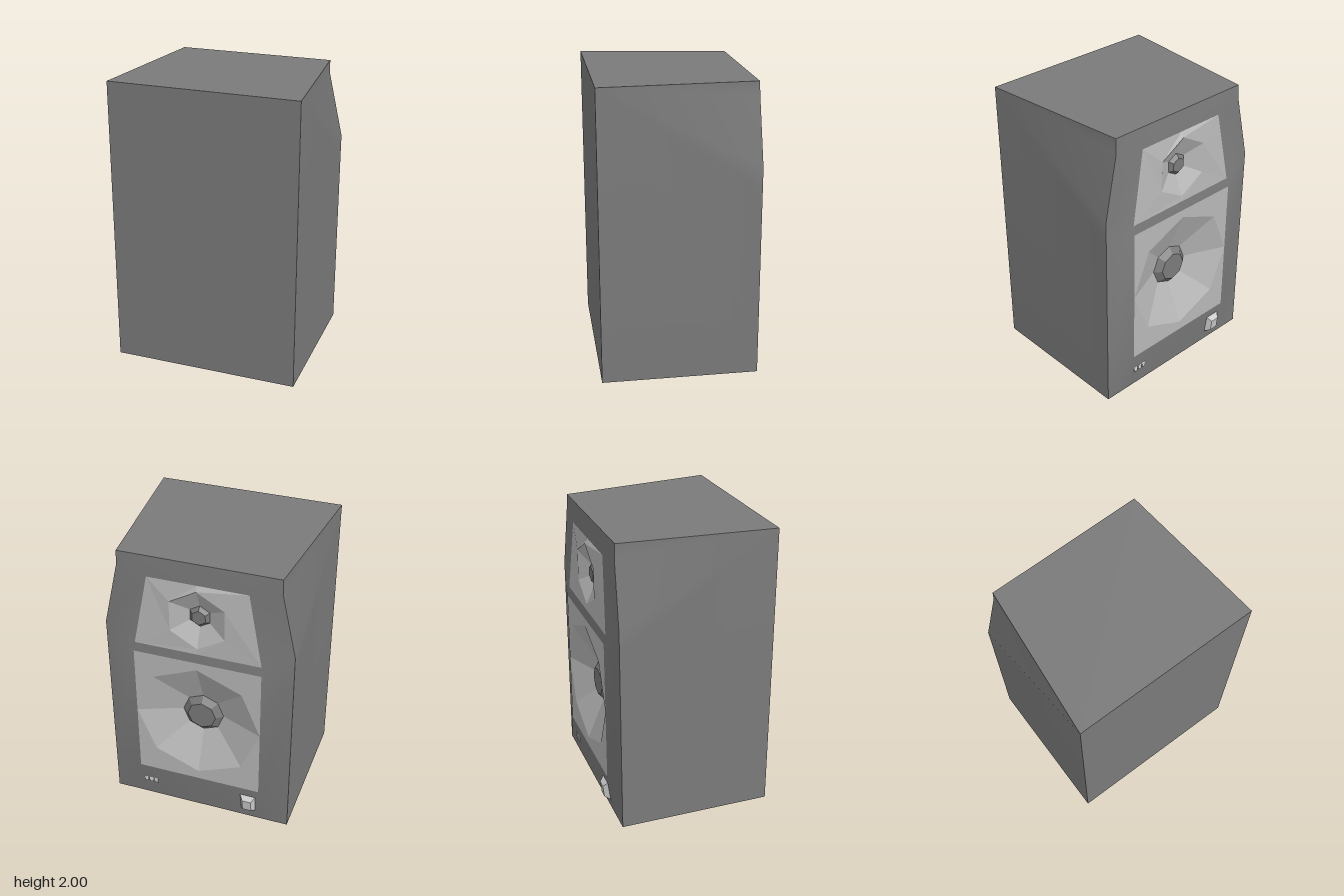
import * as THREE from 'three';
import { toCreasedNormals } from 'three/addons/utils/BufferGeometryUtils.js';

const material = (color) => new THREE.MeshStandardMaterial({ color });

// Mesh from polygons, each a counter-clockwise list of [x, y, z] corners;
// edges sharper than the crease angle stay sharp
function facets(name, polygons, mat, crease = 0.01) {
  const pos = [];
  for (const p of polygons)
    for (let i = 1; i < p.length - 1; i++) pos.push(...p[0], ...p[i], ...p[i + 1]);
  const g = new THREE.BufferGeometry();
  g.setAttribute('position', new THREE.Float32BufferAttribute(pos, 3));
  const mesh = new THREE.Mesh(toCreasedNormals(g, crease), mat);
  mesh.name = name;
  return mesh;
}

// Skin between successive loops, all counter-clockwise as seen from -z
function loft(name, loops, mat, cap = false) {
  const polygons = [];
  for (let k = 0; k < loops.length - 1; k++) {
    const a = loops[k], b = loops[k + 1], n = a.length;
    for (let i = 0; i < n; i++) polygons.push([a[i], a[(i + 1) % n], b[(i + 1) % n], b[i]]);
  }
  if (cap) polygons.push(loops[loops.length - 1]);
  return facets(name, polygons, mat);
}

// Regular polygon facing -z
function ring(n, r, y, z, start = 0) {
  return Array.from({ length: n }, (_, i) => {
    const t = start + (i / n) * Math.PI * 2;
    return [-r * Math.cos(t), y + r * Math.sin(t), z];
  });
}

export function createModel() {
  const model = new THREE.Group();
  const dark = material(0x7a7a7a), mid = material(0xb8b8b8), light = material(0xcccccc);
  const mirror = ([x, y, z]) => [-x, y, z];

  // Baffle frame: outer edge and panel edge at each level, from bottom to top
  const outer = [[0.645, 0, -0.5], [0.645, 0.29, -0.5], [0.645, 1.3, -0.5],
    [0.645, 1.45, -0.5], [0.547, 1.89, -0.49], [0.545, 1.99, -0.485]];
  const inner = [[0.44, 0, -0.5], [0.44, 0.285, -0.54], [0.44, 1.285, -0.54],
    [0.435, 1.345, -0.525], [0.34, 1.85, -0.503], [0.34, 1.99, -0.485]];
  const rows = outer.map((o, i) => [o, inner[i], mirror(inner[i]), mirror(o)]);
  const frame = [];
  for (let r = 0; r < 5; r++)
    for (let c = 0; c < 3; c++) {
      if (c === 1 && r % 2 === 1) continue; // openings for the two driver panels
      frame.push([rows[r][c], rows[r][c + 1], rows[r + 1][c + 1], rows[r + 1][c]]);
    }
  model.add(facets('baffleFrame', frame, dark, 0.6));

  // Cabinet: sides, plain face, top and bottom
  const low = [0.645, 0, 0.56], high = [0.645, 2, 0.56];
  const side = [[high, low, outer[0]]];
  for (let i = 0; i < 5; i++) side.push([high, outer[i], outer[i + 1]]);
  const otherSide = side.map((p) => p.map(mirror).reverse());
  model.add(facets('cabinet', [
    ...side, ...otherSide,
    [mirror(low), low, high, mirror(high)],
    [mirror(high), high, outer[5], mirror(outer[5])],
    [low, mirror(low), mirror(outer[0]), outer[0]],
  ], dark, 0.6));

  // Woofer: flat panel with an octagonal cone and raised dust cap
  const wy = 0.79, wz = -0.54, w = 0.44, top = 1.285, bottom = 0.285;
  const wooferEdge = [[-w, wy], [-w, top], [0, top], [w, top], [w, wy], [w, bottom], [0, bottom], [-w, bottom]]
    .map(([x, y]) => [x, y, wz]);
  const wooferRim = ring(8, 0.439, wy, wz);
  const capBase = ring(8, 0.145, wy, -0.42);
  model.add(loft('wooferPanel', [wooferEdge, wooferRim], mid));
  model.add(loft('wooferCone', [wooferRim, capBase], mid));
  model.add(loft('wooferCap', [capBase, ring(8, 0.1, wy, -0.46)], dark, true));

  // Tweeter: facetted panel with a hexagonal horn and small dome
  const ty = 1.6, start = Math.PI / 6;
  const tweeterEdge = [mirror(inner[4]), [0, 1.85, -0.503], inner[4],
    inner[3], [0, 1.345, -0.525], mirror(inner[3])];
  const tweeterRim = ring(6, 0.215, ty, -0.522, start);
  const domeBase = ring(6, 0.077, ty, -0.46, start);
  model.add(loft('tweeterPanel', [tweeterEdge, tweeterRim], mid));
  model.add(loft('tweeterHorn', [tweeterRim, domeBase], mid));
  model.add(loft('tweeterDome', [domeBase, ring(6, 0.052, ty, -0.485, start)], dark, true));

  // Power switch: tapered block on the sloping bottom strip
  model.add(loft('powerSwitch', [
    [[-0.303, 0.075, -0.505], [-0.417, 0.075, -0.505], [-0.417, 0.22, -0.527], [-0.303, 0.22, -0.527]],
    [[-0.33, 0.1, -0.55], [-0.393, 0.1, -0.55], [-0.393, 0.185, -0.56], [-0.33, 0.185, -0.56]],
  ], light, true));

  // Three small indicator tabs
  for (let i = 0; i < 3; i++) {
    const tab = new THREE.Mesh(new THREE.BoxGeometry(0.026, 0.034, 0.008), light);
    tab.name = 'indicatorTab';
    tab.position.set(0.333 + i * 0.037, 0.148, -0.522);
    tab.rotation.x = 0.14;
    model.add(tab);
  }
  return model;
}
